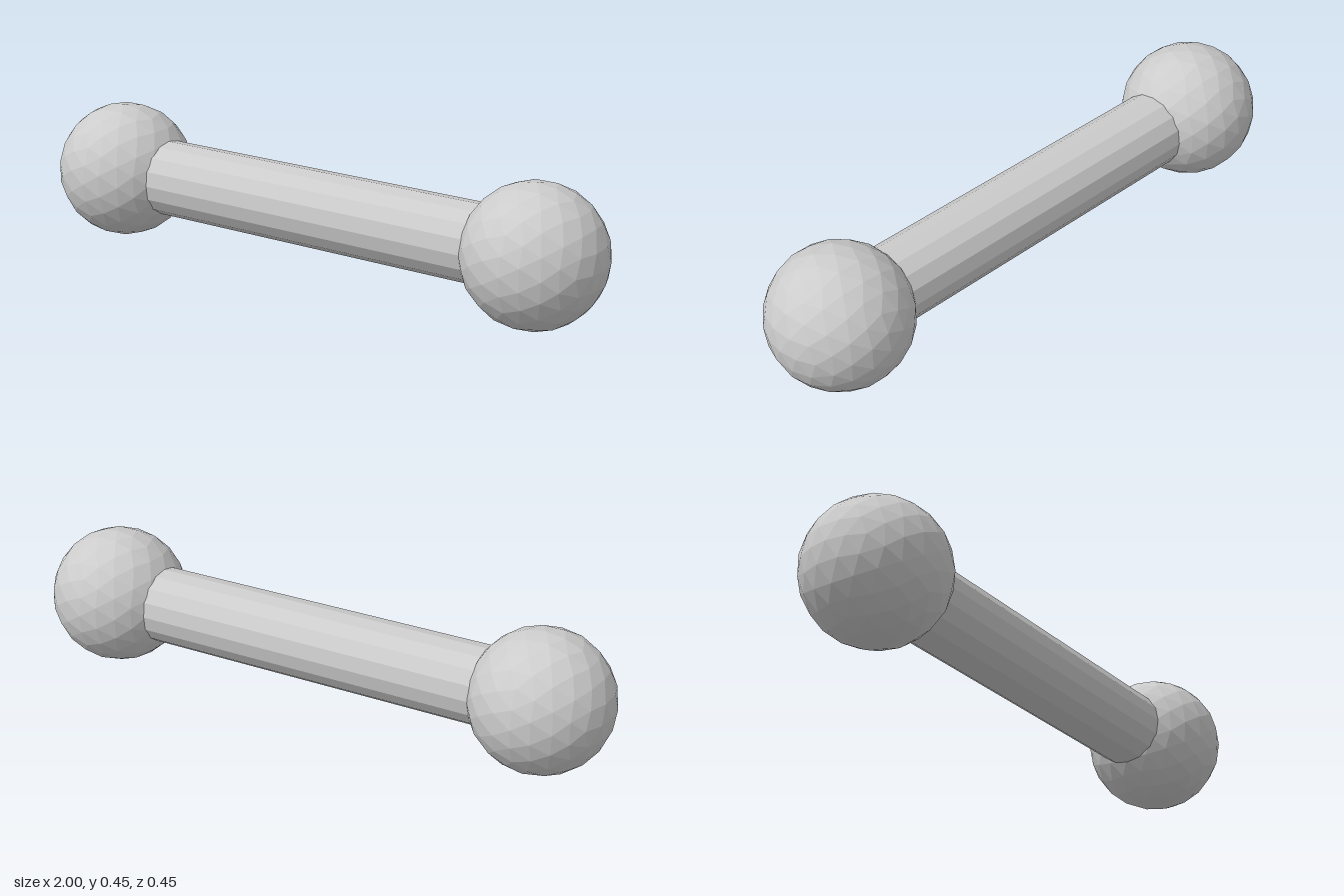
import * as THREE from 'three';

const BALL_RADIUS = 0.225;
const BAR_RADIUS = 0.125;
const BALL_X = 1 - BALL_RADIUS;

// Icosphere of 320 faces: each pass splits every face in four and pushes it out to the sphere
function icosphere(radius) {
  const once = new THREE.IcosahedronGeometry(1, 1);
  const corners = Array.from(once.attributes.position.array);
  const order = Array.from({ length: corners.length / 3 }, (_, i) => i);
  return new THREE.PolyhedronGeometry(corners, order, radius, 1);
}

export function createModel() {
  const model = new THREE.Group();
  model.name = 'dumbbell';
  const material = new THREE.MeshStandardMaterial({ color: 0xcccccc, flatShading: true });

  // Bar running between the ball centres
  const barGeometry = new THREE.CylinderGeometry(BAR_RADIUS, BAR_RADIUS, 2 * BALL_X, 16);
  barGeometry.rotateZ(Math.PI / 2);
  const bar = new THREE.Mesh(barGeometry, material);
  bar.name = 'bar';
  bar.position.y = BALL_RADIUS;
  model.add(bar);

  // Faceted ball at each end
  const ballGeometry = icosphere(BALL_RADIUS);
  for (const [name, side] of [['leftBall', 1], ['rightBall', -1]]) {
    const ball = new THREE.Mesh(ballGeometry, material);
    ball.name = name;
    ball.position.set(side * BALL_X, BALL_RADIUS, 0);
    model.add(ball);
  }

  return model;
}
